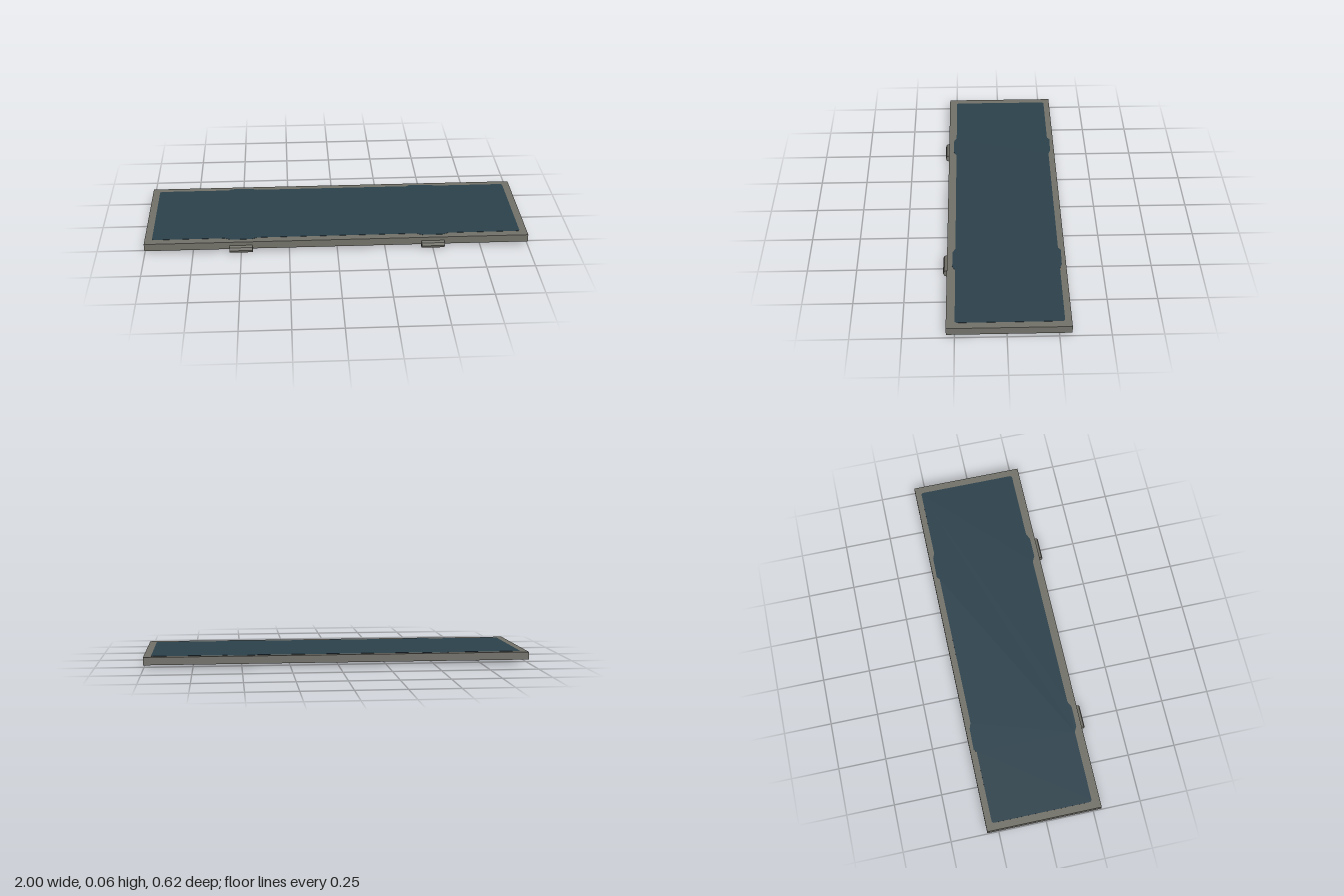
import * as THREE from 'three';

export function createModel() {
  const group = new THREE.Group();
  const frameMat = new THREE.MeshStandardMaterial({ name: 'warm grey', color: 0x73726a, flatShading: true });
  const panelMat = new THREE.MeshStandardMaterial({ name: 'dark slate blue', color: 0x2d424d });

  // Flat slab, set slightly back from the hinges
  const slab = new THREE.Mesh(new THREE.BoxGeometry(2, 0.04, 0.6), frameMat);
  slab.name = 'slab';
  slab.position.set(0, 0.04, -0.01);
  group.add(slab);

  // Eight-sided hinge barrels along the front lower edge
  for (const side of [-1, 1]) {
    const hinge = new THREE.Mesh(new THREE.CylinderGeometry(0.02, 0.02, 0.12, 8), frameMat);
    hinge.name = side > 0 ? 'leftHinge' : 'rightHinge';
    hinge.rotation.z = Math.PI / 2;
    hinge.position.set(side * 0.5, 0.02, 0.29);
    group.add(hinge);
  }

  // Inlay outline with clipped corners and shallow bulges in line with the hinges
  const back = 0.277, front = -0.248, end = 0.962, c = 0.008;
  const outline = new THREE.Shape();
  outline.moveTo(-end, back - c);
  outline.lineTo(-end + c, back);
  for (const x of [-0.5, 0.5]) {
    outline.lineTo(x - 0.08, back);
    outline.lineTo(x - 0.065, back + 0.013);
    outline.lineTo(x + 0.05, back + 0.011);
    outline.lineTo(x + 0.08, back);
  }
  outline.lineTo(end - c, back);
  outline.lineTo(end, back - c);
  outline.lineTo(end, front + c);
  outline.lineTo(end - c, front);
  for (const x of [0.5, -0.5]) {
    outline.lineTo(x + 0.085, front);
    outline.lineTo(x + 0.055, front - 0.015);
    outline.lineTo(x - 0.055, front - 0.015);
    outline.lineTo(x - 0.085, front);
  }
  outline.lineTo(-end + c, front);
  outline.lineTo(-end, front + c);
  outline.closePath();

  // Thin painted plate on the top face
  const inlay = new THREE.Mesh(
    new THREE.ExtrudeGeometry(outline, { depth: 0.001, bevelEnabled: false }), panelMat);
  inlay.name = 'topInlay';
  inlay.rotation.x = -Math.PI / 2;
  inlay.position.y = 0.06;
  group.add(inlay);

  return group;
}
